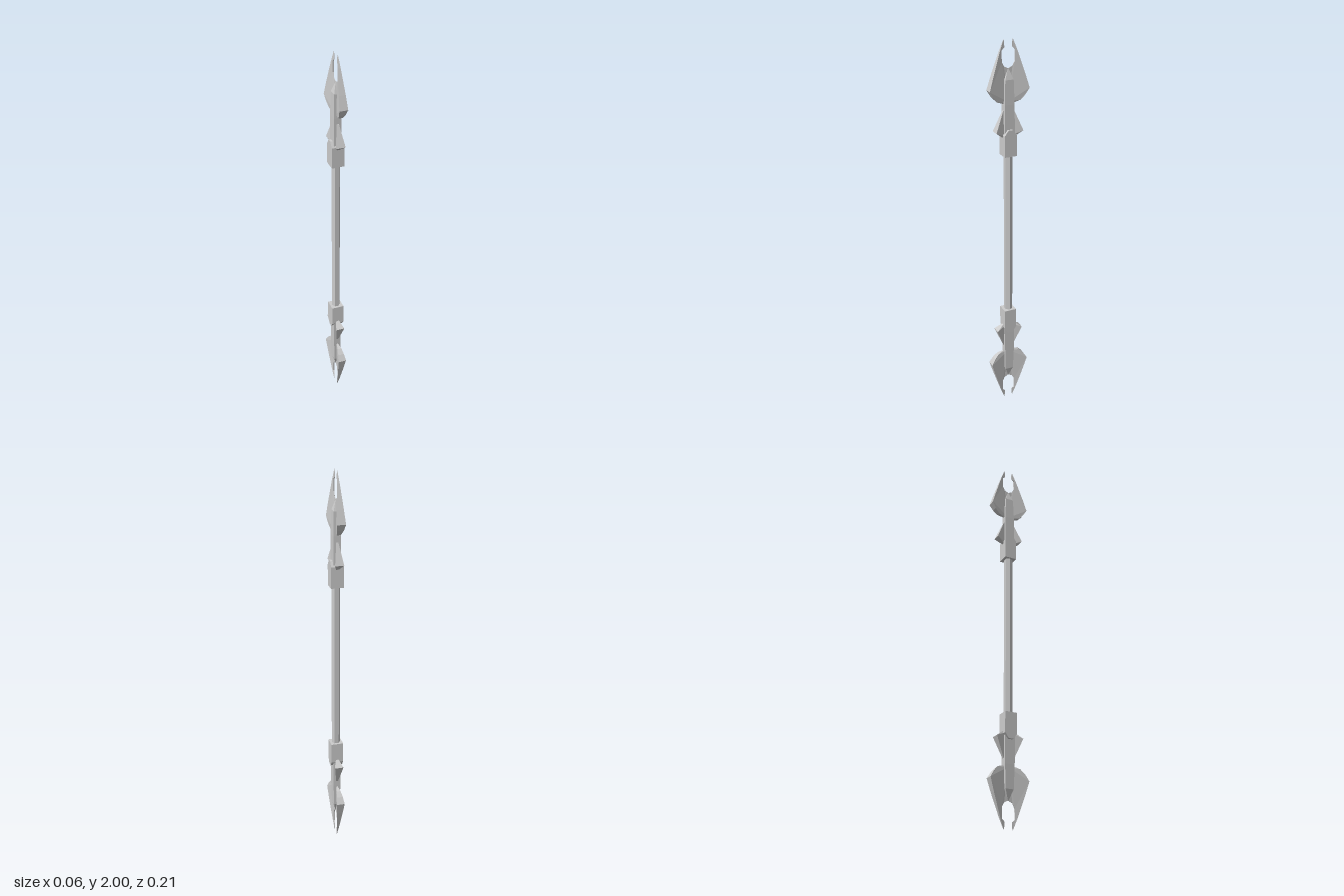
import * as THREE from 'three';

const material = new THREE.MeshStandardMaterial({ color: 0xcccccc, flatShading: true });

function addMesh(parent, geometry, name) {
  const mesh = new THREE.Mesh(geometry, material);
  mesh.name = name;
  parent.add(mesh);
  return mesh;
}

// Solid from a [z, y] outline; halfWidth(z) gives its half thickness along x.
function slab(outline, halfWidth) {
  const shape = new THREE.Shape(outline.map(([z, y]) => new THREE.Vector2(z, y)));
  const geometry = new THREE.ExtrudeGeometry(shape, { depth: 2, bevelEnabled: false });
  geometry.translate(0, 0, -1).rotateY(-Math.PI / 2);
  const p = geometry.attributes.position;
  for (let i = 0; i < p.count; i++) p.setX(i, p.getX(i) * halfWidth(p.getZ(i)));
  geometry.computeVertexNormals();
  return geometry;
}

// One end of the staff; heights are measured from the staff's middle.
function createHead(name) {
  const head = new THREE.Group();
  head.name = name;

  // Square collar with a gabled end
  const collar = [[-0.032, 0.432], [0.032, 0.432], [0.032, 0.54], [0.012, 0.567], [-0.012, 0.567], [-0.032, 0.54]];
  addMesh(head, slab(collar, () => 0.032), 'collar');

  // Four-sided neck tapering to a point between the blades
  const r = Math.SQRT2;
  const profile = [[0, 0.5], [r, 0.5], [0.95 * r, 0.69], [0.8 * r, 0.81], [0, 0.865]];
  const neck = new THREE.LatheGeometry(profile.map(([x, y]) => new THREE.Vector2(x, y)), 4, Math.PI / 4);
  neck.scale(0.02, 1, 0.027);
  addMesh(head, neck, 'neck');

  // Wedge-shaped blades and fins, thickest at their outer edge
  const bladeOutline = [
    [0, 0.7], [0.028, 0.694], [0.06, 0.706], [0.083, 0.73], [0.103, 0.763],
    [0.083, 0.83], [0.06, 0.9], [0.045, 0.945], [0.024, 1],
    [0.02, 0.985], [0.02, 0.962], [0.034, 0.95], [0.034, 0.895], [0.022, 0.873], [0, 0.862],
  ];
  const finOutline = [[0, 0.525], [0.03, 0.525], [0.071, 0.556], [0.028, 0.66], [0, 0.66]];
  const blade = slab(bladeOutline, (z) => Math.max(0.001, 0.26 * (z - 0.02)));
  const fin = slab(finOutline, (z) => Math.max(0.002, 0.41 * (z - 0.015)));
  for (const [side, angle] of [['front', 0], ['back', Math.PI]]) {
    addMesh(head, blade, side + 'Blade').rotation.y = angle;
    addMesh(head, fin, side + 'Fin').rotation.y = angle;
  }
  return head;
}

export function createModel() {
  const model = new THREE.Group();
  model.name = 'doubleEndedStaff';

  // Hexagonal shaft with its corners towards the sides
  const shaft = new THREE.CylinderGeometry(0.022, 0.022, 0.9, 6);
  shaft.rotateY(Math.PI / 6).translate(0, 1, 0);
  addMesh(model, shaft, 'shaft');

  // Matching heads at both ends
  const upper = createHead('upperHead');
  const lower = createHead('lowerHead');
  lower.rotation.z = Math.PI;
  for (const head of [upper, lower]) {
    head.position.y = 1;
    model.add(head);
  }
  return model;
}
